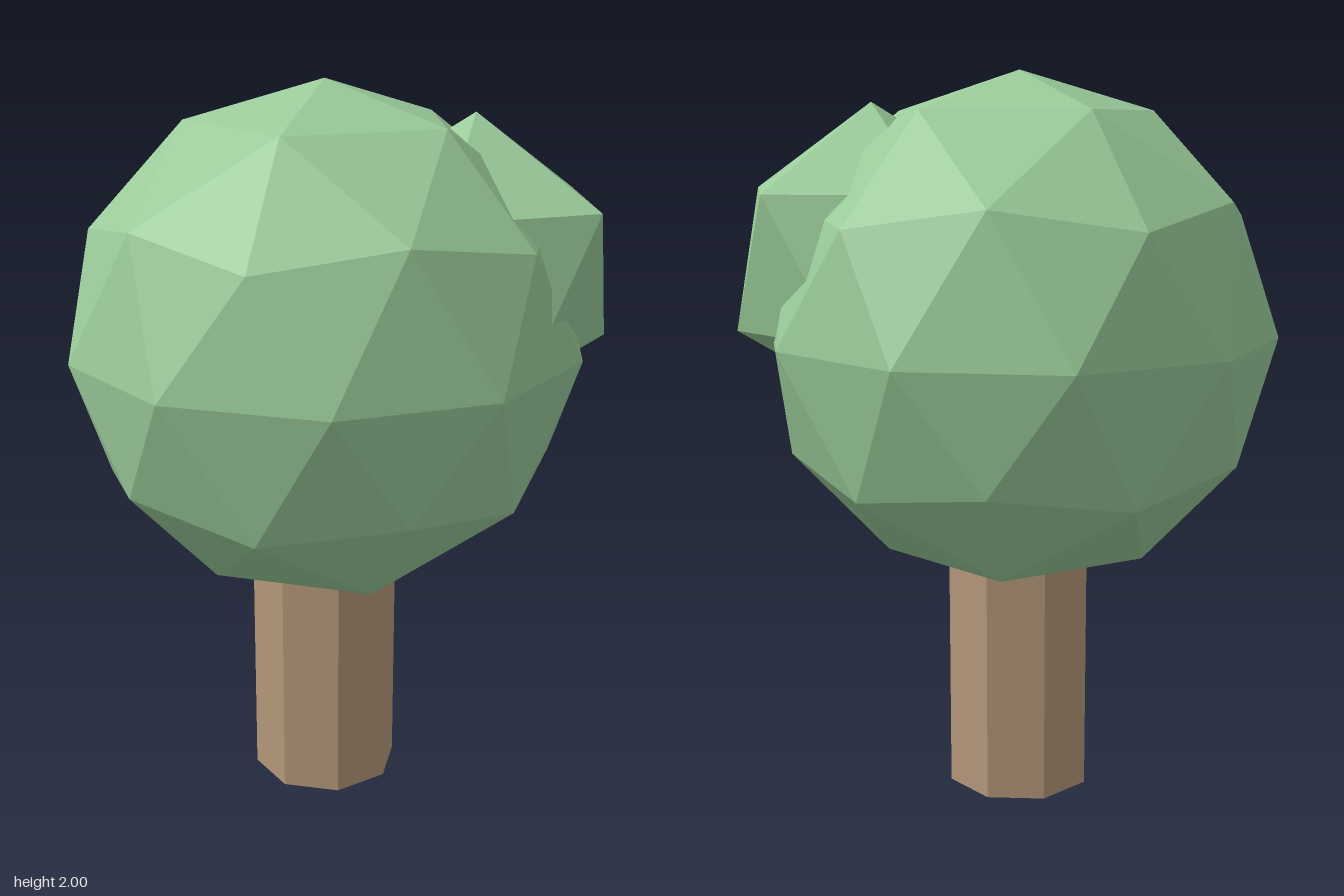
import * as THREE from 'three';

const leafGreen = new THREE.MeshStandardMaterial({ color: 0x9acb9a });
const barkBrown = new THREE.MeshStandardMaterial({ color: 0xb4977a });
leafGreen.name = 'leafGreen';
barkBrown.name = 'barkBrown';

// Gives every face its own flat normal.
function faceted(geometry) {
  const flat = geometry.index ? geometry.toNonIndexed() : geometry;
  flat.computeVertexNormals();
  return flat;
}

// Faceted ball with a corner at the top and its upper ring pointing to +x.
function leafBall(name, radius, detail, x, y, z) {
  const geometry = new THREE.IcosahedronGeometry(radius, detail);
  const goldenRatio = (1 + Math.sqrt(5)) / 2;
  geometry.rotateZ(-Math.atan(1 / goldenRatio));
  const mesh = new THREE.Mesh(faceted(geometry), leafGreen);
  mesh.name = name;
  mesh.position.set(x, y, z);
  return mesh;
}

export function createModel() {
  const tree = new THREE.Group();
  tree.name = 'tree';
  const axisX = -0.017;

  // Eight-sided trunk, reaching into the crown
  const trunkHeight = 0.85;
  const trunk = new THREE.Mesh(
    faceted(new THREE.CylinderGeometry(0.208, 0.208, trunkHeight, 8)),
    barkBrown
  );
  trunk.name = 'trunk';
  trunk.position.set(axisX, trunkHeight / 2, 0);
  tree.add(trunk);

  // Large crown and the smaller clump at its upper back left
  tree.add(leafBall('crown', 0.705, 1, axisX, 1.295, 0));
  tree.add(leafBall('leafClump', 0.414, 0, 0.317, 1.502, -0.21));

  return tree;
}
